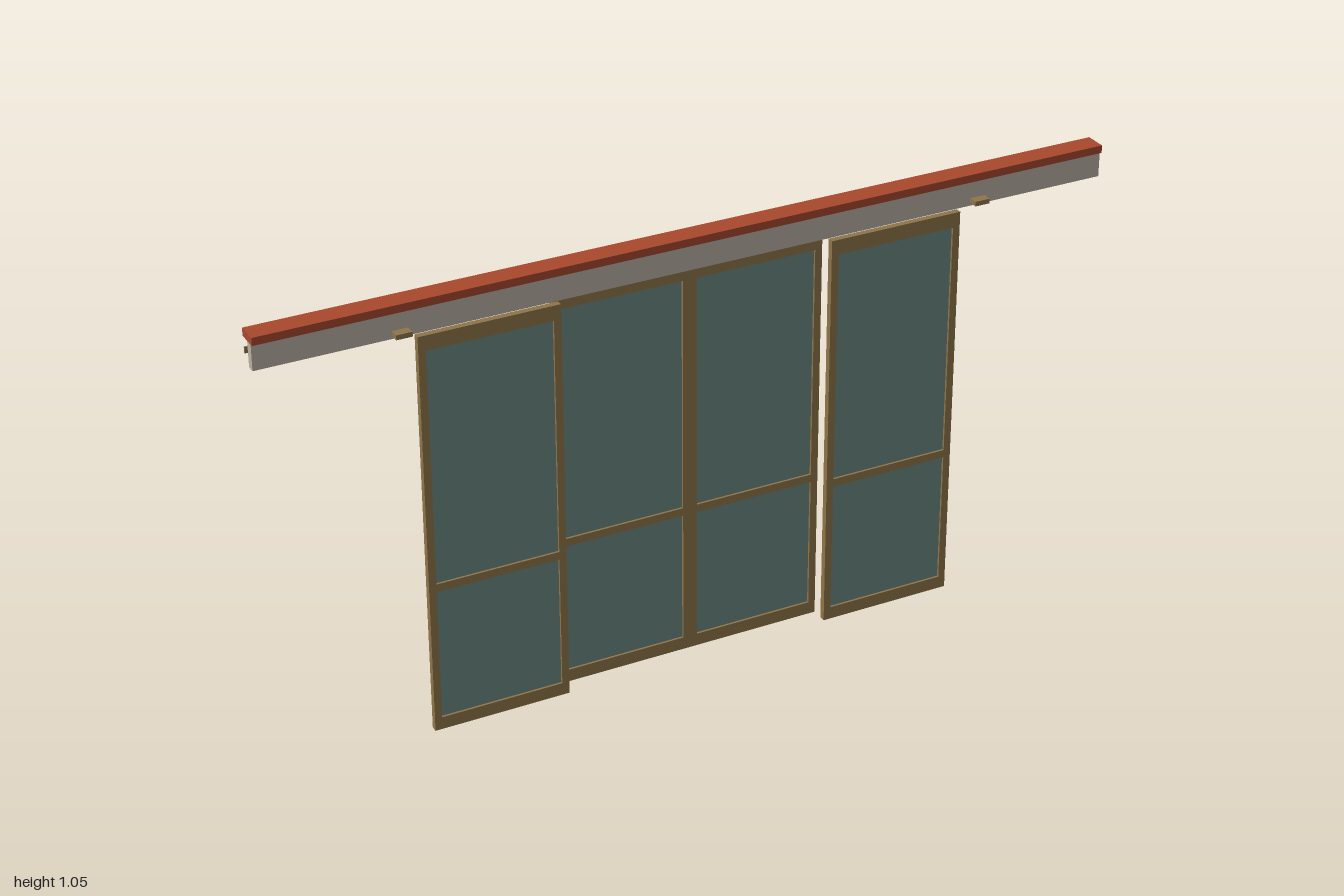
import * as THREE from 'three';

const frameBrown = new THREE.MeshStandardMaterial({ name: 'frameBrown', color: 0x8f7549 });
const glassTeal = new THREE.MeshStandardMaterial({ name: 'glassTeal', color: 0x6c8884 });
const trackGrey = new THREE.MeshStandardMaterial({ name: 'trackGrey', color: 0xb9b1a4 });
const capRed = new THREE.MeshStandardMaterial({ name: 'capRed', color: 0xa8482d });

// Box given by its minimum and maximum on each axis
function box(name, material, [x0, x1], [y0, y1], [z0, z1]) {
  const mesh = new THREE.Mesh(new THREE.BoxGeometry(x1 - x0, y1 - y0, z1 - z0), material);
  mesh.position.set((x0 + x1) / 2, (y0 + y1) / 2, (z0 + z1) / 2);
  mesh.name = name;
  return mesh;
}

const W = 0.322, H = 0.957, STILE = 0.017, TOP = 0.035, BOTTOM = 0.03, DEPTH = 0.015;

// Rectangular opening for the frame outline
function opening(y0, y1) {
  const x = W / 2 - STILE;
  const path = new THREE.Path();
  path.moveTo(-x, y0);
  path.lineTo(-x, y1);
  path.lineTo(x, y1);
  path.lineTo(x, y0);
  path.closePath();
  return path;
}

// Glazed door leaf with a middle rail and a pull bar behind it
function doorPanel(name, x, z) {
  const panel = new THREE.Group();
  panel.name = name;
  const outline = new THREE.Shape();
  outline.moveTo(-W / 2, 0);
  outline.lineTo(W / 2, 0);
  outline.lineTo(W / 2, H);
  outline.lineTo(-W / 2, H);
  outline.closePath();
  outline.holes.push(opening(BOTTOM, 0.347), opening(0.366, H - TOP));
  const geometry = new THREE.ExtrudeGeometry(outline, { depth: DEPTH, bevelEnabled: false });
  geometry.translate(0, 0, -DEPTH / 2);
  const frame = new THREE.Mesh(geometry, frameBrown);
  frame.name = 'panelFrame';
  const gx = W / 2 - STILE;
  panel.add(
    frame,
    box('lowerGlass', glassTeal, [-gx, gx], [BOTTOM, 0.347], [-0.002, 0.002]),
    box('upperGlass', glassTeal, [-gx, gx], [0.366, H - TOP], [-0.002, 0.002]),
    box('pullHandle', frameBrown, [-0.009, 0.009], [0.375, 0.488], [-0.026, -0.02])
  );
  panel.position.set(x, 0, z);
  return panel;
}

export function createModel() {
  const model = new THREE.Group();
  model.name = 'slidingDoors';

  // Overhead track
  model.add(
    box('trackCap', capRed, [-1, 1], [1.028, 1.046], [-0.014, 0.037]),
    box('trackFascia', trackGrey, [-1, 1], [0.969, 1.028], [0.011, 0.03]),
    box('rearTrackStrip', frameBrown, [-1, 1], [0.991, 1.005], [-0.012, -0.008])
  );

  // Mirrored door leaves and stops
  for (const [side, s] of [['left', 1], ['right', -1]]) {
    model.add(
      doorPanel(side + 'OuterPanel', s * W * 1.5, 0.0175),
      doorPanel(side + 'InnerPanel', s * W * 0.5, -0.0245),
      box(side + 'TrackStop', frameBrown, [s * 0.683 - 0.018, s * 0.683 + 0.018], [0.976, 0.987], [0.03, 0.052])
    );
  }
  return model;
}
